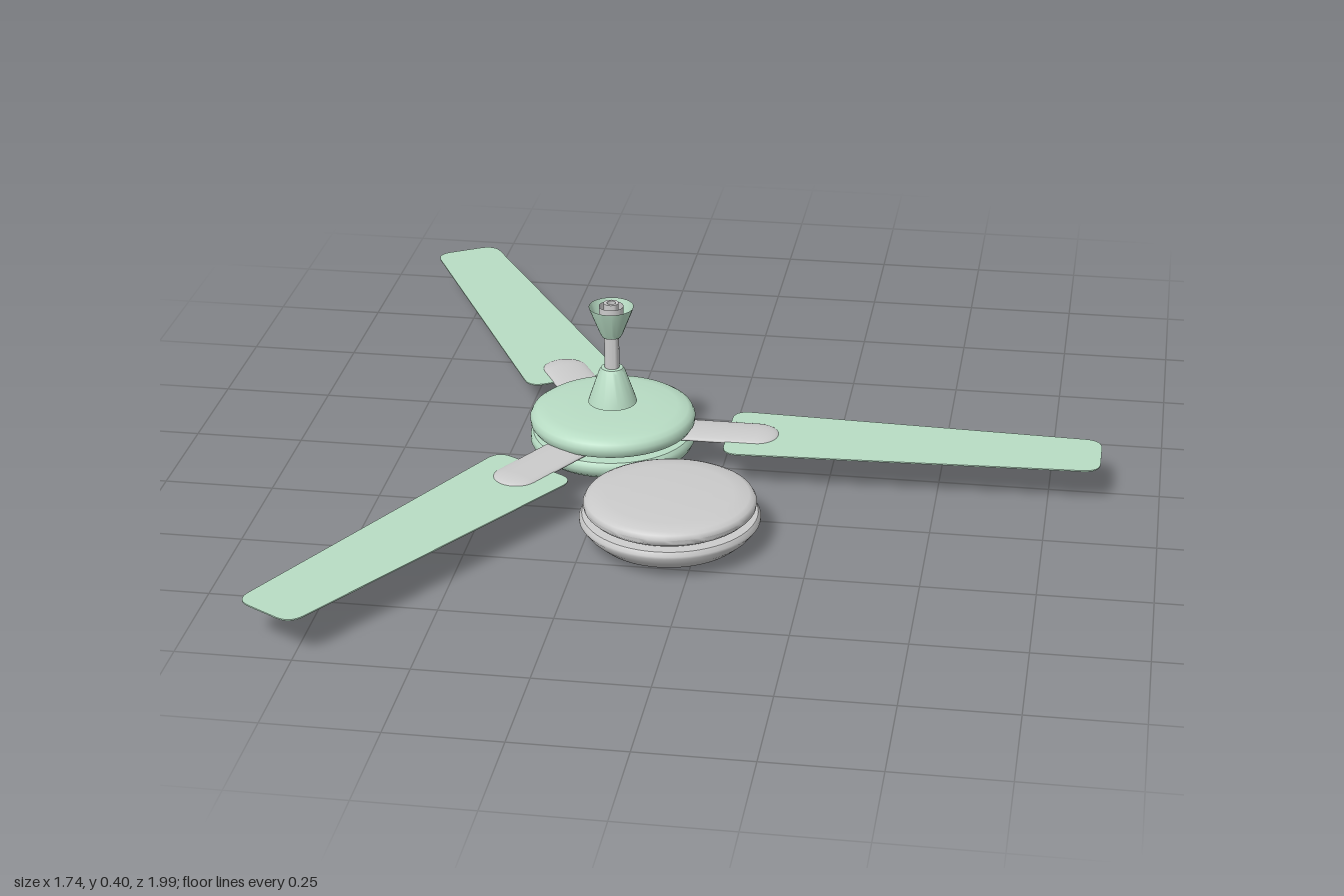
import * as THREE from 'three';
import { toCreasedNormals } from 'three/addons/utils/BufferGeometryUtils.js';

const green = new THREE.MeshStandardMaterial({ color: 0xb8dcc4, side: THREE.DoubleSide });
const grey = new THREE.MeshStandardMaterial({ color: 0xcccccc, side: THREE.DoubleSide });

function add(parent, name, geometry, material) {
  const mesh = new THREE.Mesh(geometry, material);
  mesh.name = name;
  parent.add(mesh);
  return mesh;
}

// Turned part from a bottom-to-top profile of [radius, height]
function turned(profile, segments = 64) {
  const points = profile.map(([r, y]) => new THREE.Vector2(r, y));
  return toCreasedNormals(new THREE.LatheGeometry(points, segments), 0.7);
}

// Tapered outline with rounded corners, lying flat, running along +x
function plate(x0, x1, w0, w1, radius, thickness) {
  const corners = [[x0, -w0], [x1, -w1], [x1, w1], [x0, w0]].map(([x, y]) => new THREE.Vector2(x, y));
  const shape = new THREE.Shape();
  corners.forEach((c, i) => {
    const toward = (other) => c.clone().add(other.clone().sub(c).setLength(radius));
    const a = toward(corners[(i + 3) % 4]);
    const b = toward(corners[(i + 1) % 4]);
    if (i === 0) shape.moveTo(a.x, a.y);
    else shape.lineTo(a.x, a.y);
    shape.quadraticCurveTo(c.x, c.y, b.x, b.y);
  });
  shape.closePath();
  const geometry = new THREE.ExtrudeGeometry(shape, { depth: thickness, bevelEnabled: false, curveSegments: 8 });
  return geometry.translate(0, 0, -thickness / 2).rotateX(-Math.PI / 2);
}

// Flattened, round-ended arm: a squashed capsule along +x
function armGeometry() {
  const geometry = new THREE.CapsuleGeometry(0.05, 0.2, 8, 24);
  geometry.rotateZ(Math.PI / 2).scale(1, 0.2, 1.06);
  return geometry.translate(0.235, 0, 0);
}

function createFan() {
  const fan = new THREE.Group();
  fan.name = 'ceilingFan';

  // Motor housing: two rounded shells with a slot for the blade arms
  add(fan, 'lowerHousing', turned([
    [0.125, 0.036], [0.13, 0.031], [0.145, 0.033], [0.17, 0.042], [0.183, 0.052],
    [0.19, 0.066], [0.189, 0.078], [0.183, 0.085], [0.14, 0.087],
  ]), green);
  add(fan, 'upperHousing', turned([
    [0.14, 0.098], [0.183, 0.099], [0.189, 0.108], [0.19, 0.12],
    [0.185, 0.131], [0.174, 0.138], [0.15, 0.142], [0.09, 0.144], [0, 0.145],
  ]), green);
  add(fan, 'motorCore', new THREE.CylinderGeometry(0.155, 0.155, 0.03, 48).translate(0, 0.092, 0), grey);
  add(fan, 'bottomCover', turned([
    [0, 0.033], [0.1, 0.034], [0.105, 0.038], [0.128, 0.038],
  ]), grey);

  // Hanging rod with its two cone covers
  add(fan, 'downRod', turned([
    [0.017, 0.14], [0.017, 0.4], [0.01, 0.4], [0.01, 0.33], [0, 0.33],
  ], 32), grey);
  add(fan, 'lowerCanopy', turned([
    [0.056, 0.155], [0.054, 0.162], [0.03, 0.232], [0.025, 0.24], [0.017, 0.241],
  ], 32), green);
  add(fan, 'upperCanopy', turned([
    [0.017, 0.316], [0.022, 0.318], [0.027, 0.328], [0.049, 0.384], [0.051, 0.391],
  ], 32), green);
  add(fan, 'rodBracket', new THREE.CylinderGeometry(0.028, 0.028, 0.035, 24, 1, true).translate(0, 0.375, 0), grey);

  // Three blades, each on its arm
  for (let i = 0; i < 3; i++) {
    const wing = new THREE.Group();
    wing.name = 'bladeAssembly' + (i + 1);
    wing.position.y = 0.092;
    wing.rotation.y = (i * Math.PI * 2) / 3;
    add(wing, 'blade', plate(0.268, 1.12, 0.113, 0.079, 0.04, 0.003), green);
    add(wing, 'bladeArm', armGeometry(), grey);
    fan.add(wing);
  }
  return fan;
}

// Separate round unit beside the fan
function createSpareMotor() {
  const motor = new THREE.Group();
  motor.name = 'spareMotor';
  add(motor, 'lowerShell', turned([
    [0, 0.004], [0.095, 0.004], [0.1, 0], [0.115, 0.003], [0.13, 0.012], [0.165, 0.02],
    [0.185, 0.038], [0.2, 0.058], [0.2, 0.064], [0.194, 0.073], [0.16, 0.075],
  ]), grey);
  add(motor, 'core', new THREE.CylinderGeometry(0.17, 0.17, 0.03, 48).translate(0, 0.077, 0), grey);
  add(motor, 'upperShell', turned([
    [0.16, 0.08], [0.181, 0.081], [0.19, 0.09], [0.191, 0.099],
    [0.186, 0.108], [0.175, 0.113], [0.14, 0.116], [0.08, 0.118], [0, 0.119],
  ]), grey);
  return motor;
}

export function createModel() {
  const model = new THREE.Group();
  model.name = 'ceilingFanSet';
  const fan = createFan();
  fan.position.x = -0.255;
  const motor = createSpareMotor();
  motor.position.set(-0.063, 0, 0.367);
  model.add(fan, motor);
  return model;
}
